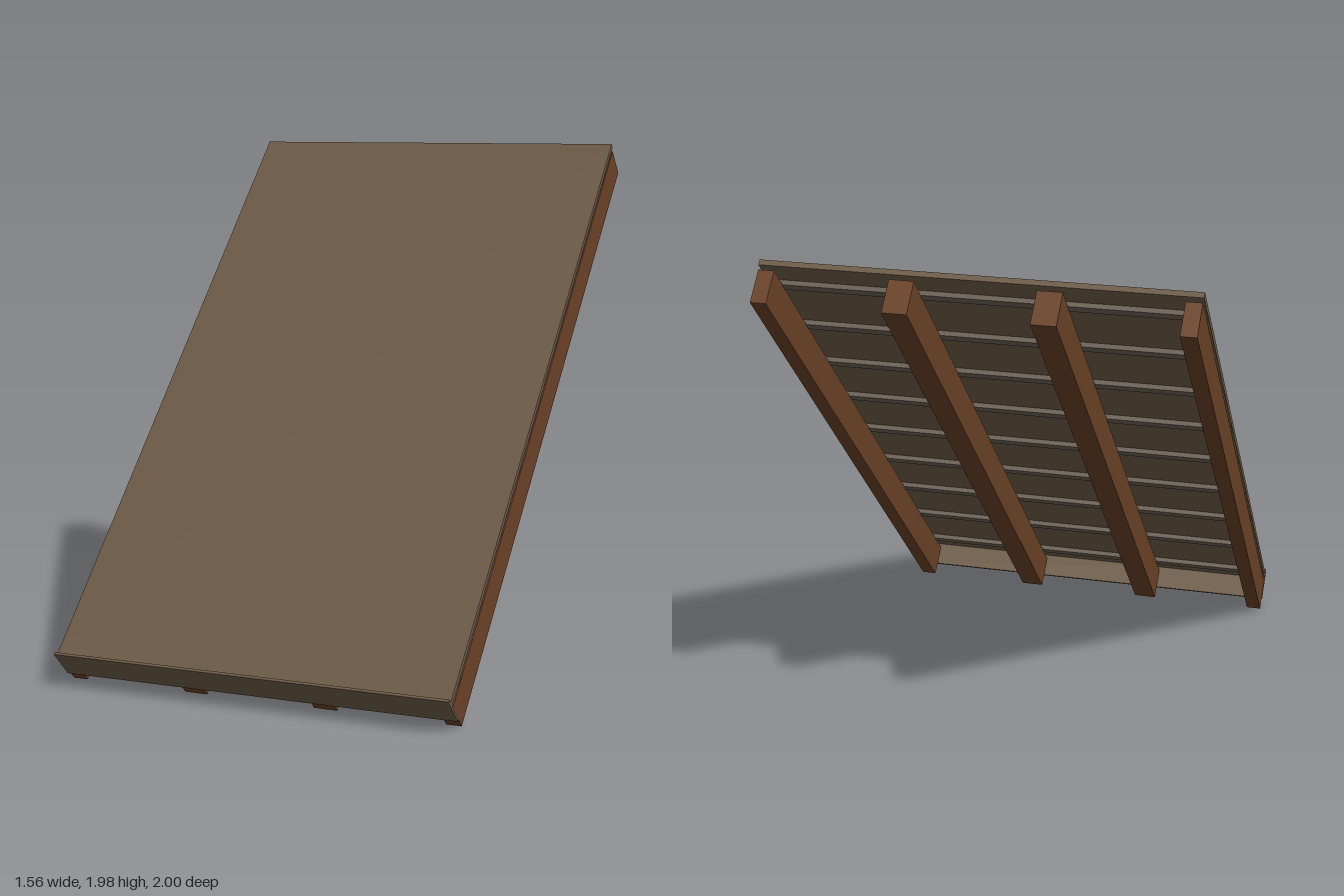
import * as THREE from 'three';

export function createModel() {
  const model = new THREE.Group();
  model.name = 'roofSection';

  // Slope frame: local y is out of the roof, local -z runs up the slope
  const slope = new THREE.Group();
  slope.name = 'slope';
  slope.rotation.x = Math.PI / 4;
  model.add(slope);

  const timber = new THREE.MeshStandardMaterial({ color: 0x6b4226 });
  const sheet = new THREE.MeshStandardMaterial({ color: 0x6e5c48 });
  const lath = new THREE.MeshStandardMaterial({ color: 0x6b6055 });

  // Box given by its limits: x across, n out of the roof, s up the slope
  function board(name, material, [x0, x1], [n0, n1], [s0, s1]) {
    const mesh = new THREE.Mesh(new THREE.BoxGeometry(x1 - x0, n1 - n0, s1 - s0), material);
    mesh.position.set((x0 + x1) / 2, (n0 + n1) / 2, -(s0 + s1) / 2);
    mesh.name = name;
    slope.add(mesh);
  }

  const eave = -0.607;
  const ridge = 2.025;
  const half = 0.78;

  // Rafters: narrow at the edges, wide inside
  for (const side of [-1, 1]) {
    for (const [name, centre, width] of [['edgeRafter', 0.749, 0.058], ['innerRafter', 0.26, 0.09]]) {
      const x = side * centre;
      board(name, timber, [x - width / 2, x + width / 2], [0.61, 0.739], [eave, ridge]);
    }
  }

  // Battens across the rafters
  for (let i = 0; i < 9; i++) {
    const s = -0.5 + i * 0.3015;
    board('batten', lath, [-half + 0.004, half - 0.004], [0.736, 0.757], [s - 0.018, s + 0.018]);
  }

  // Roof covering
  board('roofPanel', sheet, [-half, half], [0.755, 0.776], [eave, ridge + 0.005]);

  // Board closing the eave
  board('fascia', sheet, [-half, half], [0.66, 0.797], [eave - 0.01, eave]);

  return model;
}
